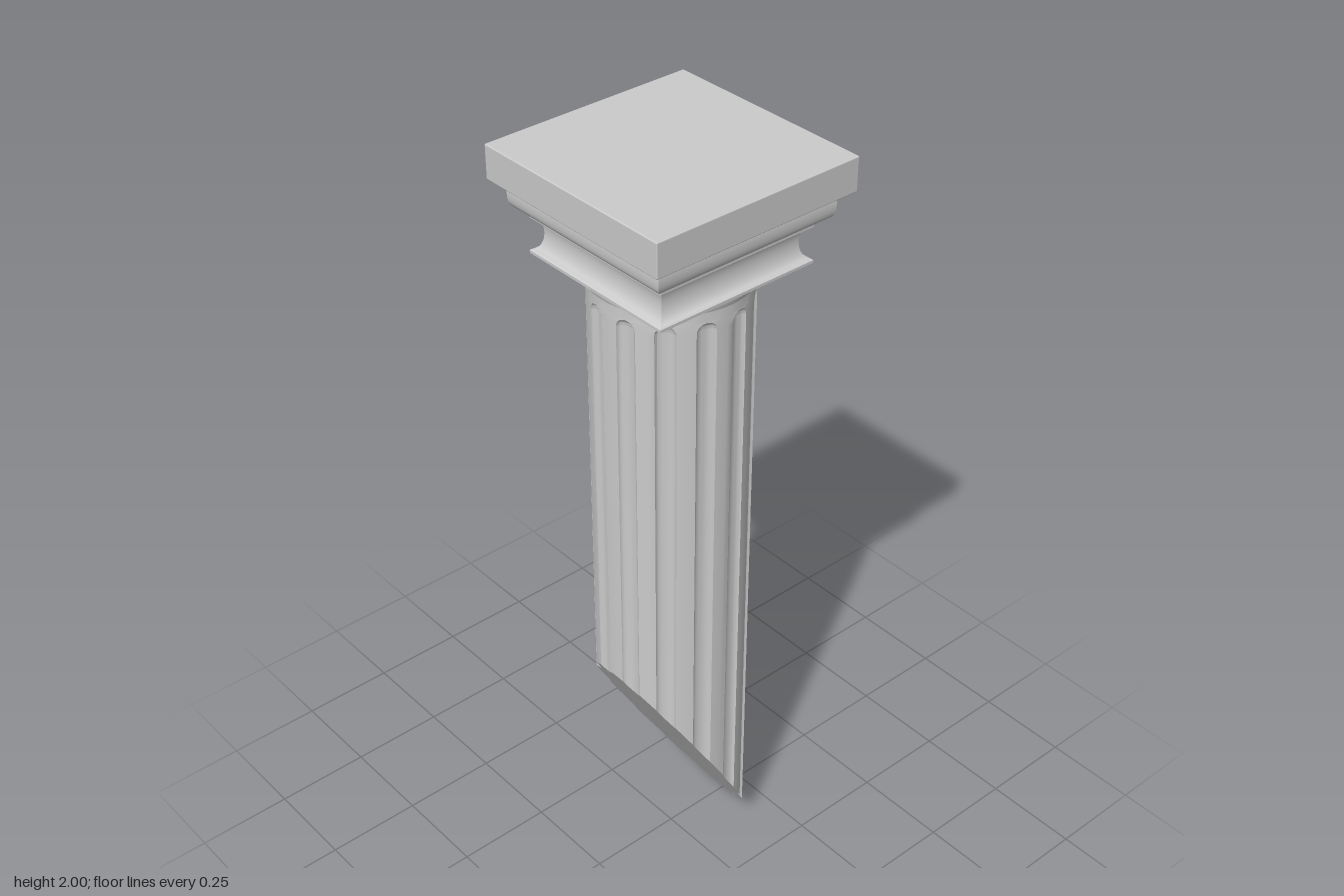
import * as THREE from 'three';
import { toCreasedNormals } from 'three/addons/utils/BufferGeometryUtils.js';
import { RoundedBoxGeometry } from 'three/addons/geometries/RoundedBoxGeometry.js';

const FLUTES = 13, STEP = (Math.PI * 2) / FLUTES, TURN = 0.068;
const RADIUS = 0.19, DEPTH = 0.013, HALF = 0.127; // HALF: half angle of one flute
const ARCH_Y = 1.657, ARCH_H = 0.024, SHAFT_TOP = 1.71;
const FLUTE_SEGS = 10, RIDGE_SEGS = 3;

// Height of the slanted break at depth z
const cutY = (z) => 0.32 + 1.685 * z;

// One horizontal ring of the fluted shaft; open = 1 for full flutes, 0 for none
function fluteRing(y, open) {
  const ring = [];
  const add = (a, r) => {
    const z = r * Math.cos(a);
    ring.push(new THREE.Vector3(r * Math.sin(a), y === null ? cutY(z) : y, z));
  };
  for (let i = 0; i < FLUTES; i++) {
    const mid = TURN + (i + 0.5) * STEP, half = HALF * open;
    for (let k = 0; k <= FLUTE_SEGS; k++) {
      const u = (Math.PI * k) / FLUTE_SEGS;
      add(mid - half * Math.cos(u), RADIUS - DEPTH * open * Math.sin(u));
    }
    for (let k = 1; k < RIDGE_SEGS; k++) {
      add(mid + half + ((STEP - 2 * half) * k) / RIDGE_SEGS, RADIUS);
    }
  }
  return ring;
}

function fromTriangles(points) {
  const geometry = new THREE.BufferGeometry().setFromPoints(points);
  return toCreasedNormals(geometry, 0.6);
}

// Mitred square moulding swept from a [half width, y] profile
function squareMoulding(profile) {
  const points = profile.map(([w, y]) => new THREE.Vector2(w * Math.SQRT2, y));
  return toCreasedNormals(new THREE.LatheGeometry(points, 4).rotateY(Math.PI / 4), 0.6);
}

export function createModel() {
  const group = new THREE.Group();
  const material = new THREE.MeshStandardMaterial({ color: 0xcccccc });
  const add = (name, geometry) => {
    const mesh = new THREE.Mesh(geometry, material);
    mesh.name = name;
    group.add(mesh);
    return mesh;
  };

  // Fluted shaft: slanted foot, straight run, rounded flute ends
  const rings = [fluteRing(null, 1), fluteRing(ARCH_Y, 1)];
  for (let k = 1; k <= 8; k++) {
    const u = (k / 8) * (Math.PI / 2);
    rings.push(fluteRing(ARCH_Y + ARCH_H * Math.sin(u), Math.max(Math.cos(u), 0.01)));
  }
  rings.push(fluteRing(SHAFT_TOP, 0.01));
  const wall = [];
  for (let r = 0; r < rings.length - 1; r++) {
    const low = rings[r], high = rings[r + 1];
    low.forEach((a, i) => {
      const j = (i + 1) % low.length;
      wall.push(a, low[j], high[j], a, high[j], high[i]);
    });
  }
  add('shaft', fromTriangles(wall));

  // Flat face of the slanted break
  const centre = new THREE.Vector3(0, cutY(0), 0), face = [];
  rings[0].forEach((a, i) => face.push(centre, rings[0][(i + 1) % rings[0].length], a));
  add('brokenFace', fromTriangles(face));

  // Round neck ring under the capital
  const neck = [[0.185, 1.71], [0.195, 1.71], [0.197, 1.715], [0.198, 1.725], [0.198, 1.745]];
  add('neckRing', toCreasedNormals(
    new THREE.LatheGeometry(neck.map(([x, y]) => new THREE.Vector2(x, y)), 64), 0.6));

  // Square capital: cove, fillet and bulging ovolo
  const profile = [[0, 1.74], [0.219, 1.74], [0.219, 1.747]];
  for (let k = 0; k <= 12; k++) {
    const u = (k / 12) * Math.PI;
    profile.push([0.215 - 0.006 * (k / 12) - 0.017 * Math.sin(u), 1.788 - 0.038 * Math.cos(u)]);
  }
  profile.push([0.217, 1.828], [0.217, 1.842], [0.211, 1.845], [0.211, 1.852]);
  for (let k = 0; k <= 10; k++) {
    const u = (k / 10) * Math.PI;
    profile.push([0.232 + 0.018 * Math.sqrt(Math.sin(u)), 1.883 - 0.031 * Math.cos(u)]);
  }
  profile.push([0.232, 1.92]);
  add('capital', squareMoulding(profile));

  // Square slab on top
  add('abacus', new RoundedBoxGeometry(0.56, 0.084, 0.56, 2, 0.003)).position.y = 1.958;

  return group;
}
